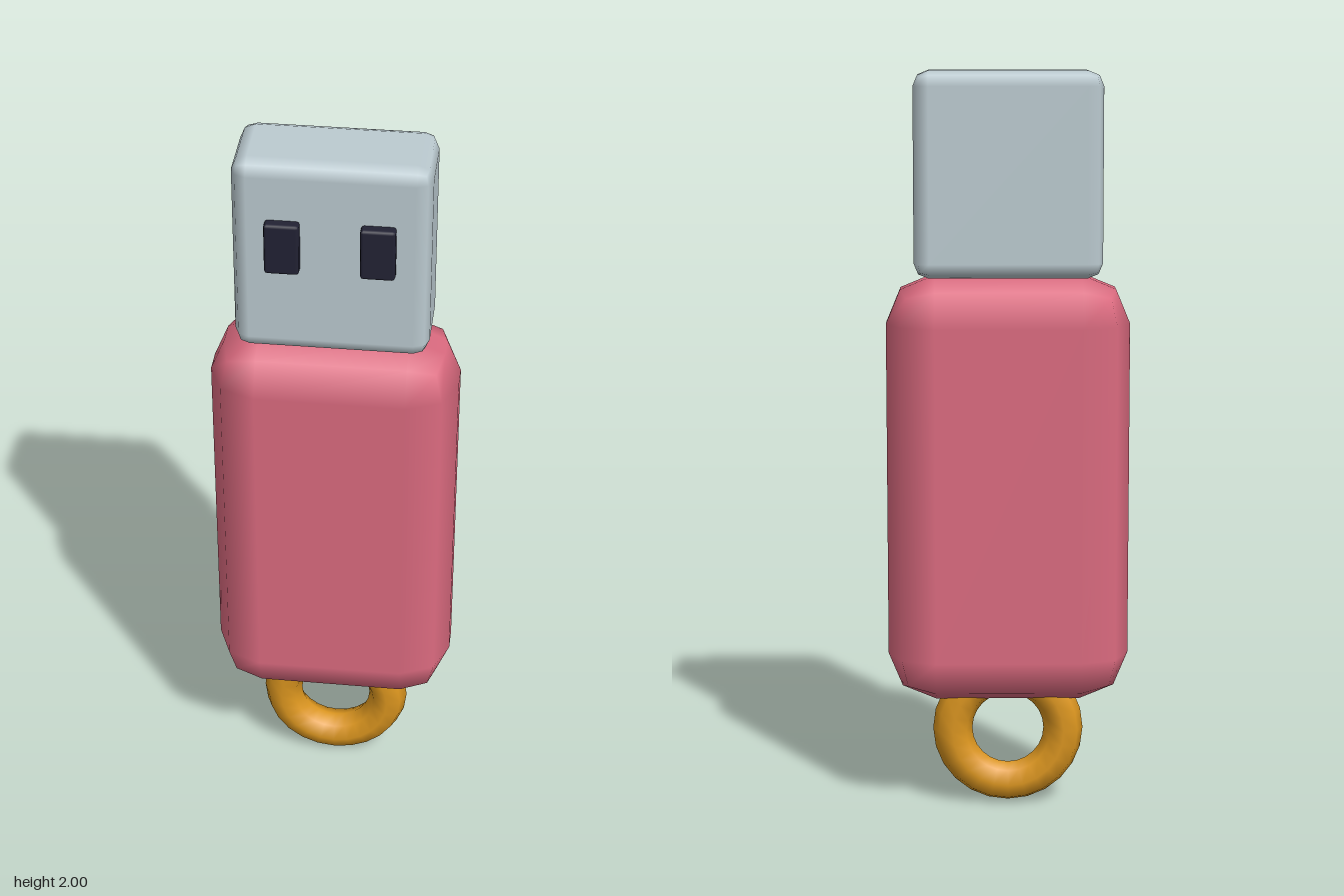
import * as THREE from 'three';
import { RoundedBoxGeometry } from 'three/addons/geometries/RoundedBoxGeometry.js';

function material(name, color) {
  const m = new THREE.MeshStandardMaterial({ color });
  m.name = name;
  return m;
}

export function createModel() {
  const group = new THREE.Group();
  group.name = 'usbStick';

  const pink = material('pink plastic', 0xdc6b80);
  const silver = material('silver metal', 0xbccbd1);
  const dark = material('dark contact', 0x222234);
  const gold = material('gold metal', 0xdc961f);

  const add = (name, geometry, mat, x, y, z) => {
    const mesh = new THREE.Mesh(geometry, mat);
    mesh.name = name;
    mesh.position.set(x, y, z);
    group.add(mesh);
  };

  // Box with one-step bevels and smooth normals
  const bevelBox = (w, h, d, r) => new RoundedBoxGeometry(w, h, d, 1, r);

  // Casing and metal plug
  add('casing', bevelBox(0.652, 1.163, 0.326, 0.13), pink, 0, 0.88, 0);
  add('plug', bevelBox(0.5, 0.543, 0.239, 0.04), silver, 0, 1.7285, 0);

  // Two raised contacts on the front of the plug
  for (const side of [-1, 1]) {
    add(side > 0 ? 'leftContact' : 'rightContact',
      bevelBox(0.088, 0.14, 0.054, 0.008), dark, side * 0.12, 1.775, 0.121);
  }

  // Key ring sunk into the bottom of the casing
  add('keyRing', new THREE.TorusGeometry(0.152, 0.054, 8, 24), gold, 0, 0.207, 0);

  return group;
}
